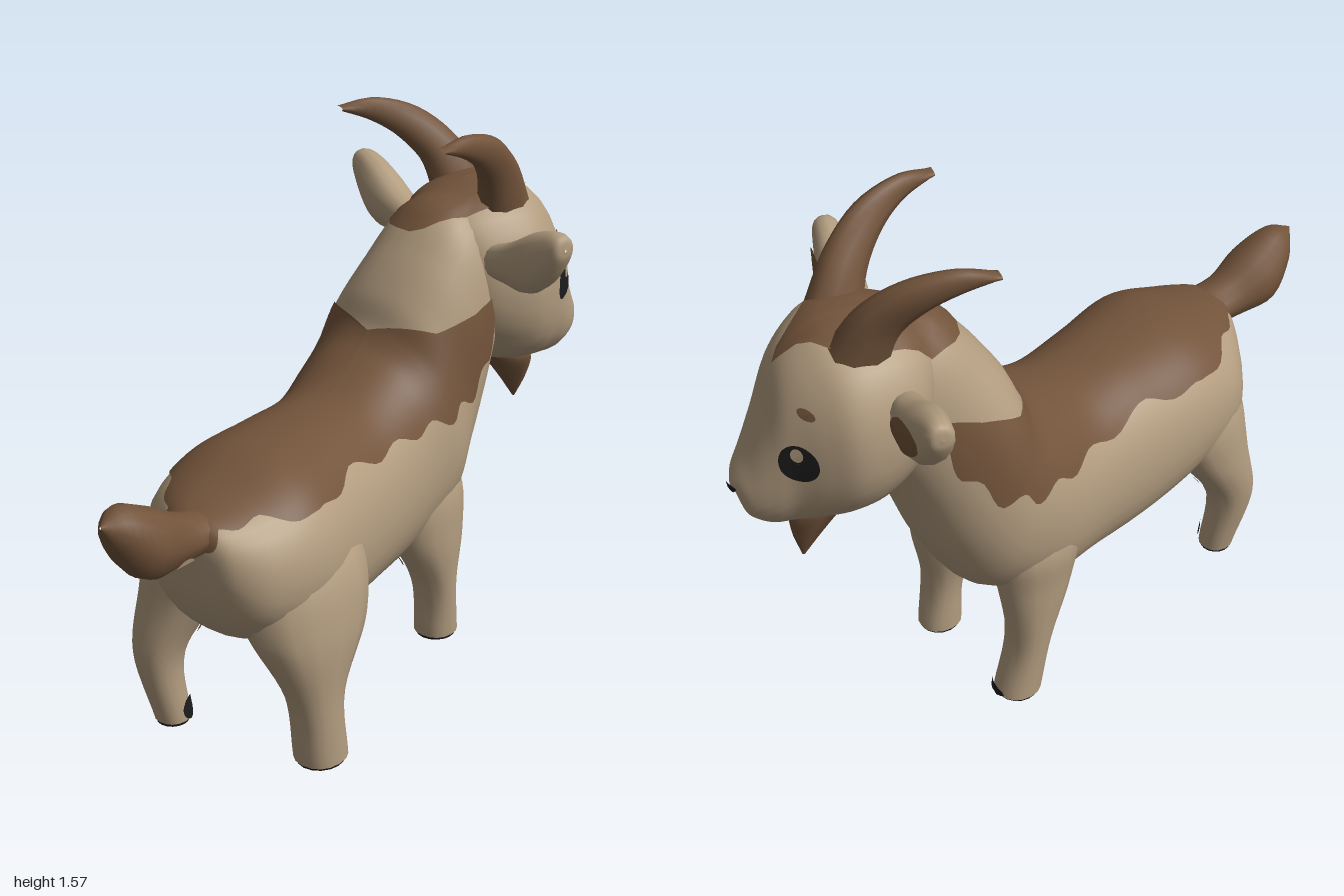
import * as THREE from 'three';
import { mergeVertices } from 'three/addons/utils/BufferGeometryUtils.js';

const V = (x, y, z) => new THREE.Vector3(x, y, z);
const mat = (name, color) => Object.assign(new THREE.MeshStandardMaterial({ color }), { name });
const RAD = Math.PI / 180;
const boxy = v => Math.sign(v) * Math.abs(v) ** 0.9;

// Smooth surface through slightly boxy rings: centre c, half axes a and b.
function surface(rings) {
  const [C, A, B] = ['c', 'a', 'b'].map(k => new THREE.CatmullRomCurve3(rings.map(r => r[k]), false, 'catmullrom', 0.5));
  const dir = C.getPoint(0.6).sub(C.getPoint(0.4));
  const flip = A.getPoint(0.5).cross(B.getPoint(0.5)).dot(dir) < 0;
  const at = (u, t, k = 1) => C.getPoint(u)
    .addScaledVector(A.getPoint(u), k * boxy(Math.cos(t))).addScaledVector(B.getPoint(u), k * boxy(Math.sin(t)));
  return { at, flip };
}

// Mesh of part of a surface, between angles lo(u) and hi(u).
function skin(s, nu, nt, { u0 = 0, u1 = 1, lo = () => 0, hi = () => 2 * Math.PI, k = 1 } = {}) {
  const pos = [], idx = [];
  for (let i = 0; i <= nu; i++) {
    const u = u0 + (u1 - u0) * i / nu;
    for (let j = 0; j <= nt; j++) {
      pos.push(...s.at(u, lo(u) + (hi(u) - lo(u)) * j / nt, k).toArray());
      if (i === nu || j === nt) continue;
      const p = i * (nt + 1) + j, q = p + nt + 1;
      idx.push(...(s.flip ? [p, q, p + 1, p + 1, q, q + 1] : [p, p + 1, q, p + 1, q + 1, q]));
    }
  }
  let g = new THREE.BufferGeometry();
  g.setAttribute('position', new THREE.Float32BufferAttribute(pos, 3));
  g.setIndex(idx);
  g = mergeVertices(g, 1e-4);
  g.computeVertexNormals();
  return g;
}

// Ring given by its top and bottom points in the xy plane, depth offset and half width.
const slab = ([xt, yt, xb, yb, z, w]) => ({
  c: V((xt + xb) / 2, (yt + yb) / 2, z), a: V((xt - xb) / 2, (yt - yb) / 2, 0), b: V(0, 0, w),
});
// Horizontal ring: centre and half sizes in x and z.
const disc = ([x, y, z, rx, rz]) => ({ c: V(x, y, z), a: V(rx, 0, 0), b: V(0, 0, rz) });

export function createModel() {
  const root = new THREE.Group();
  root.name = 'goat';
  const coat = mat('tan coat', 0xb39d80), brown = mat('brown markings', 0x73543b), black = mat('black', 0x1c1c1c);
  const add = (name, geo, m) => {
    const mesh = new THREE.Mesh(geo, m);
    mesh.name = name;
    root.add(mesh);
    return mesh;
  };

  // Head frame: turned a little towards +z.
  const H = new THREE.Matrix4().makeRotationY(-15 * RAD).setPosition(0.575, 0, -0.003);
  const addHead = (name, geo, m) => add(name, geo.applyMatrix4(H), m);

  // Thin marking with a smooth outline, projected onto meshes along a direction.
  function decal(name, targets, o, dir, outline, m, up = V(0, 1, 0)) {
    const ray = new THREE.Raycaster(), d = dir.clone().normalize();
    const R = up.clone().cross(d).normalize(), U = d.clone().cross(R);
    const rim = new THREE.CatmullRomCurve3(outline.map(([x, y]) => V(x, y, 0)), true);
    const pos = [], idx = [], n = 32, rows = 8;
    for (let i = 0; i <= rows; i++) for (let j = 0; j < n; j++) {
      const k = Math.max(i / rows, 0.01), q = rim.getPoint(j / n);
      const p = o.clone().addScaledVector(R, q.x * k).addScaledVector(U, q.y * k);
      ray.set(p.clone().addScaledVector(d, 0.6), d.clone().negate());
      const hit = ray.intersectObjects(targets)[0];
      pos.push(...(hit ? hit.point : p).clone().addScaledVector(d, 0.008).toArray());
      if (i === rows) continue;
      const a = i * n + j, b = i * n + (j + 1) % n;
      idx.push(a, a + n, b, b, a + n, b + n);
    }
    const g = new THREE.BufferGeometry();
    g.setAttribute('position', new THREE.Float32BufferAttribute(pos, 3));
    g.setIndex(idx);
    g.computeVertexNormals();
    return add(name, g, m);
  }
  const headDecal = (name, t, o, dir, outline, m, up = V(0, 1, 0)) =>
    decal(name, t, o.applyMatrix4(H), dir.transformDirection(H), outline, m, up.transformDirection(H));
  const oval = (rx, ry, tilt = 0, n = 12) => Array.from({ length: n }, (_, i) => {
    const t = 2 * Math.PI * i / n, x = rx * Math.cos(t), y = ry * Math.sin(t);
    return [x * Math.cos(tilt) - y * Math.sin(tilt), x * Math.sin(tilt) + y * Math.cos(tilt)];
  });

  // Body and neck
  const bodyS = surface([
    [-0.70, 0.79, -0.70, 0.70, 0.16, 0.05], [-0.66, 0.81, -0.66, 0.54, 0.15, 0.15],
    [-0.55, 0.84, -0.58, 0.42, 0.12, 0.25], [-0.40, 0.88, -0.40, 0.36, 0.10, 0.29],
    [-0.20, 0.88, -0.20, 0.31, 0.06, 0.275], [0.00, 0.88, 0.00, 0.305, 0.02, 0.26],
    [0.15, 0.94, 0.20, 0.315, -0.02, 0.265], [0.22, 1.00, 0.40, 0.40, -0.03, 0.268],
    [0.26, 1.10, 0.50, 0.55, -0.03, 0.248], [0.34, 1.22, 0.56, 0.72, -0.01, 0.22],
    [0.44, 1.325, 0.61, 0.85, 0, 0.19], [0.58, 1.35, 0.67, 0.95, 0, 0.15],
  ].map(slab));
  const body = add('body', skin(bodyS, 66, 32), coat);

  // Brown saddle, one half per side, with a wavy lower edge
  const lerpDeg = (list, u) => {
    const f = u * 11, i = Math.min(Math.floor(f), list.length - 2);
    return THREE.MathUtils.lerp(list[i], list[i + 1], f - i) * RAD;
  };
  const inner = u => lerpDeg([0, 0, 0, 0, 0, 0, 0, 0, 48, 73, 92], u);
  const outer = u => lerpDeg([100, 36, 40, 58, 47, 53, 63, 76, 92, 104, 98], u) + 0.06 * Math.sin(u * 62);
  const saddle = { u0: 0.01, u1: 9.75 / 11, k: 1.02 };
  add('saddleRight', skin(bodyS, 66, 14, { ...saddle, lo: inner, hi: outer }), brown);
  add('saddleLeft', skin(bodyS, 66, 14, { ...saddle, lo: u => -outer(u), hi: u => -inner(u) }), brown);

  // Tail: x, y, z, half height, half width
  const tail = add('tail', skin(surface([
    [-0.62, 0.76, 0.16, 0.045, 0.08], [-0.74, 0.765, 0.16, 0.065, 0.075], [-0.85, 0.80, 0.165, 0.088, 0.092],
    [-0.94, 0.87, 0.17, 0.058, 0.06], [-1.0, 0.9, 0.18, 0.003, 0.003],
  ].map(([x, y, z, h, w]) => ({ c: V(x, y, z), a: V(h * 0.35, h, 0), b: V(0, 0, w) }))), 16, 12), brown);
  decal('tailSpot', [tail], V(-0.78, 0.735, 0.2), V(0, -0.2, 1), oval(0.04, 0.02), coat);

  // Legs from inside the body down: x, y, z, half size in x, half size in z
  const legs = {
    frontLegRight: [[0.27, 0.72, 0.06, 0.10, 0.06], [0.28, 0.56, 0.11, 0.15, 0.105], [0.295, 0.40, 0.135, 0.125, 0.095],
      [0.325, 0.22, 0.15, 0.06, 0.07], [0.345, 0.045, 0.145, 0.064, 0.062]],
    frontLegLeft: [[0.22, 0.72, -0.12, 0.10, 0.06], [0.23, 0.56, -0.175, 0.14, 0.105], [0.235, 0.40, -0.19, 0.11, 0.09],
      [0.265, 0.20, -0.20, 0.06, 0.072], [0.305, 0.02, -0.20, 0.066, 0.066]],
    hindLegRight: [[-0.35, 0.78, 0.13, 0.14, 0.10], [-0.375, 0.62, 0.215, 0.215, 0.165], [-0.39, 0.44, 0.295, 0.19, 0.125],
      [-0.41, 0.24, 0.34, 0.085, 0.075], [-0.39, 0.035, 0.345, 0.076, 0.07]],
    hindLegLeft: [[-0.42, 0.76, 0.04, 0.12, 0.10], [-0.44, 0.62, -0.02, 0.17, 0.14], [-0.50, 0.44, -0.07, 0.12, 0.11],
      [-0.565, 0.26, -0.10, 0.07, 0.07], [-0.54, 0.05, -0.08, 0.05, 0.05]],
  };
  // Brown markings inside the legs: facing x, facing z, height, radius
  const mark = { frontLegRight: [-1, -1, 0.32, 0.04], hindLegRight: [1, -1, 0.36, 0.065], hindLegLeft: [1, 1, 0.37, 0.06] };
  // Black showing above the sole: centre, facing, half sizes
  const toe = {
    hindLegLeft: [V(-0.53, 0.09, -0.06), V(0.3, 0, 1), 0.03, 0.035],
    frontLegLeft: [V(0.36, 0.03, -0.18), V(1, 0, 0.5), 0.045, 0.012],
  };
  for (const [name, pts] of Object.entries(legs)) {
    const leg = add(name, skin(surface(pts.map(disc)), 24, 16), coat);
    const [x, y, z, rx, rz] = pts[4];
    add(name + 'Sole', new THREE.CylinderGeometry(0.98, 0.92, 0.012, 16).scale(rx, 1, rz).translate(x, y - 0.004, z), black);
    if (mark[name]) {
      const [dx, dz, h, r] = mark[name];
      decal(name + 'Marking', [leg], V(pts[2][0] + dx * 0.05, h, pts[2][2] + dz * 0.05), V(dx, 0, dz), oval(r, r), brown);
    }
    if (toe[name]) decal(name + 'Toe', [leg], toe[name][0], toe[name][1], oval(toe[name][2], toe[name][3]), black);
  }

  // Head
  const head = addHead('head', skin(surface([
    [-0.14, 1.27, -0.12, 1.03, 0, 0.08], [-0.07, 1.335, -0.05, 0.91, 0, 0.195], [0.04, 1.37, 0.04, 0.835, 0, 0.243],
    [0.14, 1.37, 0.13, 0.805, 0, 0.252], [0.21, 1.34, 0.21, 0.79, 0, 0.213], [0.28, 1.265, 0.28, 0.782, 0, 0.16],
    [0.33, 1.13, 0.335, 0.785, 0, 0.13], [0.375, 1.02, 0.38, 0.81, 0, 0.10], [0.41, 0.955, 0.40, 0.835, 0, 0.07],
    [0.425, 0.925, 0.415, 0.885, 0, 0.02], [0.425, 0.906, 0.425, 0.902, 0, 0.002],
  ].map(slab)), 50, 32), coat);

  // Brown crown between the horns, running down the back of the neck
  const crown = [[0, 0.245], [-0.05, 0.17], [-0.13, 0.10], [-0.15, 0.02], [-0.14, -0.06], [-0.12, -0.15], [-0.06, -0.235],
    [0.06, -0.235], [0.12, -0.15], [0.14, -0.06], [0.15, 0.02], [0.13, 0.10], [0.05, 0.17]];
  headDecal('crown', [head, body], V(0.04, 1.34, 0), V(0, 1, 0), crown, brown, V(1, 0, 0));
  // Nose
  headDecal('nose', [head], V(0.41, 0.915, 0), V(1, 0, 0),
    [[0.05, 0.012], [0.025, 0.01], [0, 0.006], [-0.025, 0.01], [-0.05, 0.012], [-0.03, -0.01], [0, -0.016], [0.03, -0.01]], black);

  for (const s of [1, -1]) {
    const side = s > 0 ? 'Right' : 'Left';
    // Eye, highlight and brow
    const look = () => V(Math.cos(42 * RAD), 0, s * Math.sin(42 * RAD));
    const eye = headDecal('eye' + side, [head], V(0.25, 1.06, s * 0.147), look(), oval(0.056, 0.055), black);
    headDecal('eyeHighlight' + side, [head, eye], V(0.25, 1.092, s * 0.147), look(), oval(0.018, 0.02), coat);
    headDecal('brow' + side, [head], V(0.225, 1.205, s * 0.147), look(), oval(0.028, 0.014, s * 0.2), brown);

    // Horn: x, y, z, radius, lean of its cross-section
    addHead('horn' + side, skin(surface([
      [0.09, 1.30, 0.10, 0.085, 0.35], [0.04, 1.42, 0.14, 0.066, 0.6], [-0.04, 1.505, 0.19, 0.052, 0.9],
      [-0.14, 1.55, 0.23, 0.034, 1.35], [-0.24, 1.56, 0.255, 0.006, 1.5],
    ].map(([x, y, z, r, t]) => ({
      c: V(x, y, s * z), a: V(r * Math.cos(t), r * Math.sin(t), 0), b: V(0, 0, Math.max(r * 0.8, 0.02)),
    }))), 18, 10), brown);

    // Ear: y, z, half height, half thickness
    const ear = addHead('ear' + side, skin(surface([
      [1.18, 0.17, 0.045, 0.04], [1.20, 0.27, 0.062, 0.055], [1.228, 0.37, 0.09, 0.06],
      [1.27, 0.45, 0.075, 0.046], [1.302, 0.497, 0.037, 0.032], [1.303, 0.505, 0.003, 0.003],
    ].map(([y, z, h, w]) => ({ c: V(0, y, s * z), a: V(0, h, 0), b: V(w, 0, 0) }))), 20, 14), coat);
    headDecal('innerEar' + side, [ear], V(0, 1.23, s * 0.365), V(1, 0, 0), oval(0.1, 0.046, -s * 0.4), brown);
  }

  // Beard
  addHead('beard', skin(surface([
    [0.15, 0.83, 0, 0.075, 0.07], [0.20, 0.79, 0, 0.078, 0.075], [0.235, 0.71, -0.01, 0.045, 0.042], [0.255, 0.63, -0.02, 0.004, 0.004],
  ].map(disc)), 12, 8), brown);

  return root;
}
